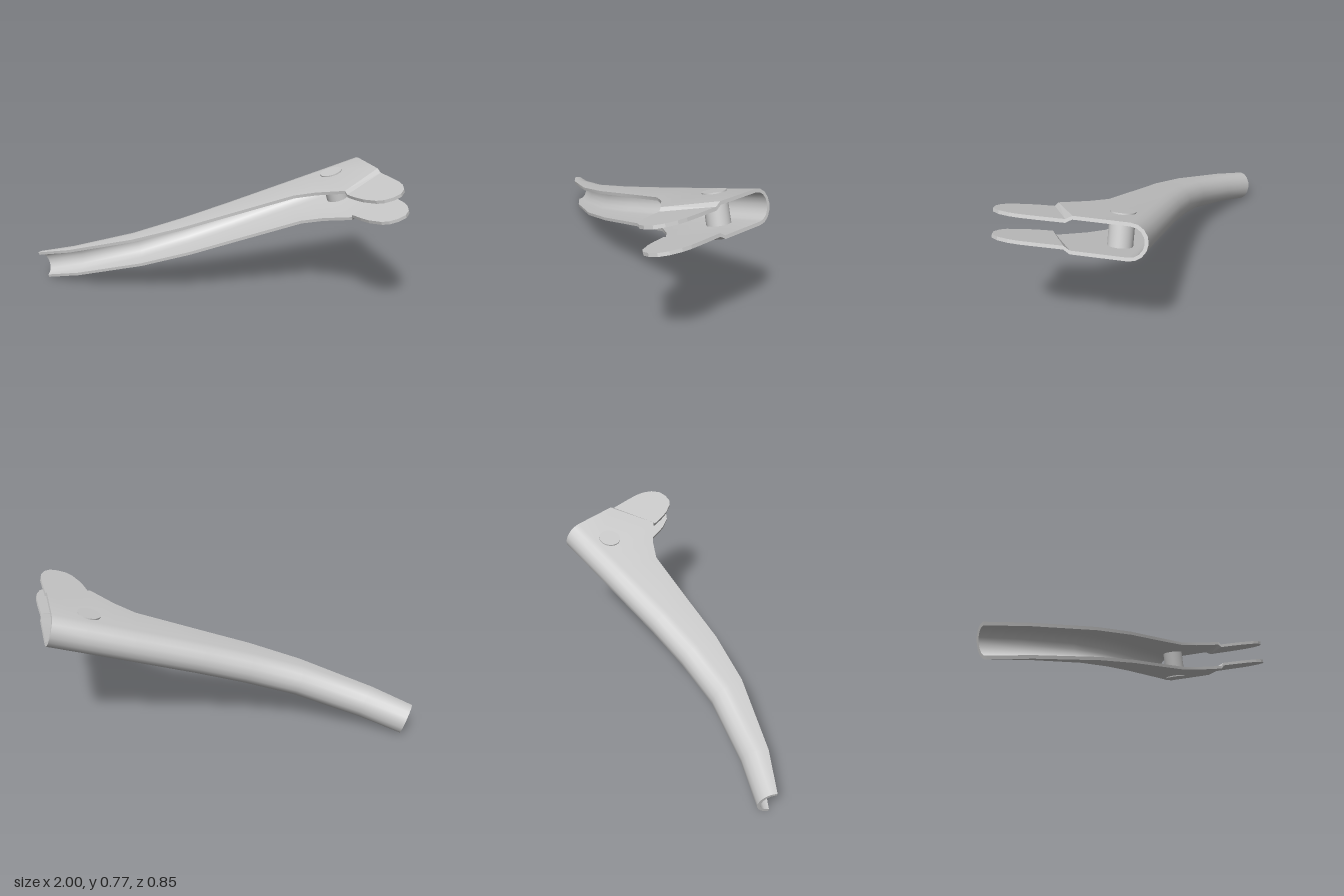
import * as THREE from 'three';
import { toCreasedNormals } from 'three/addons/utils/BufferGeometryUtils.js';

// Local frame: x along the lever, y through its thickness, z towards the open side.
const TILT = THREE.MathUtils.degToRad(17.5);
const MID = 0.373;   // mid-plane of the channel
const HALF = 0.086;  // half of the outer thickness
const WALL = 0.017;
const TAB_HALF = 0.068;

// Stations: lip x, lip z, back x, back z
const STATIONS = [
  [-0.905, -0.36, -0.872, -0.428],
  [-0.705, -0.24, -0.646, -0.34],
  [-0.31, -0.083, -0.3, -0.25],
  [-0.02, -0.023, -0.016, -0.235],
  [0.24, 0, 0.25, -0.242],
  [0.62, 0.037, 0.62, -0.268],
  [0.735, 0.095, 0.735, -0.276],
  [0.87, 0.197, 0.87, -0.286],
  [1.095, 0.035, 1.04, -0.3],
];

// U-shaped half section: flat sides and a rounded back
function sectionLine(station, inset) {
  const [lx, lz, bx, bz] = station;
  const depth = Math.hypot(bx - lx, bz - lz);
  const round = Math.min(0.085, depth * 0.95);
  const half = HALF - inset;
  const points = [];
  const add = (s, v) => points.push(new THREE.Vector3(
    lx + (bx - lx) * s / depth, MID + v, lz + (bz - lz) * s / depth));
  add(0, half);
  for (let i = 0; i <= 8; i++) {
    const a = Math.PI * i / 8;
    add(depth - round + (round - inset) * Math.sin(a), half * Math.cos(a));
  }
  add(0, -half);
  return points;
}

// Thin-walled channel lofted through the stations
function channelGeometry() {
  const rings = STATIONS.map(s => [...sectionLine(s, 0), ...sectionLine(s, WALL).reverse()]);
  const n = rings[0].length;
  const index = [];
  for (let i = 0; i < rings.length - 1; i++) {
    for (let j = 0; j < n; j++) {
      const k = (j + 1) % n;
      const a = i * n + j, b = i * n + k, c = a + n, d = b + n;
      index.push(a, c, b, b, c, d);
    }
  }
  // End rims between the outer and inner lines
  const last = (rings.length - 1) * n;
  for (let j = 0; j < n / 2 - 1; j++) {
    const o = j, o2 = j + 1, p = n - 1 - j, p2 = n - 2 - j;
    index.push(o, o2, p, o2, p2, p);
    index.push(last + o, last + p, last + o2, last + o2, last + p, last + p2);
  }
  const geometry = new THREE.BufferGeometry().setFromPoints(rings.flat());
  geometry.setIndex(index);
  return toCreasedNormals(geometry, 0.6);
}

// Flat plate from an outline in x and z
function plateGeometry(outline, y) {
  const shape = new THREE.Shape(outline.map(([x, z]) => new THREE.Vector2(x, -z)));
  const geometry = new THREE.ExtrudeGeometry(shape, { depth: WALL, bevelEnabled: false });
  return geometry.rotateX(-Math.PI / 2).translate(0, y, 0);
}

const FOLD = [[0.87, 0.197], [1.095, 0.035]];
const TAB_START = [0.874, 0.212];
const TAB_END = [1.1, 0.065];
const TAB = [
  TAB_START, [0.9, 0.28], [0.927, 0.335], [0.975, 0.4], [1.01, 0.421], [1.055, 0.425],
  [1.1, 0.41], [1.13, 0.368], [1.142, 0.31], [1.14, 0.26], [1.125, 0.18], TAB_END,
];

export function createModel() {
  const model = new THREE.Group();
  model.name = 'lever';
  const material = new THREE.MeshStandardMaterial({ color: 0xcccccc, side: THREE.DoubleSide });
  const lever = new THREE.Group();
  lever.name = 'tiltedLever';
  lever.rotation.z = TILT;
  model.add(lever);

  const add = (name, geometry) => {
    const mesh = new THREE.Mesh(geometry, material);
    mesh.name = name;
    lever.add(mesh);
  };

  add('channel', channelGeometry());

  // Upper and lower tabs, each joined to the channel by a sloping step
  for (const side of [1, -1]) {
    const label = side > 0 ? 'upper' : 'lower';
    const y = MID + side * (TAB_HALF - WALL / 2) - WALL / 2;
    add(label + 'Tab', plateGeometry(TAB, y));

    const step = plateGeometry([FOLD[0], TAB_START, TAB_END, FOLD[1]], y);
    const pos = step.attributes.position;
    for (let i = 0; i < pos.count; i++) {
      const onFold = FOLD.some(([x, z]) =>
        Math.hypot(pos.getX(i) - x, pos.getZ(i) - z) < 0.002);
      if (onFold) pos.setY(i, pos.getY(i) + side * (HALF - TAB_HALF));
    }
    step.computeVertexNormals();
    add(label + 'TabStep', step);
  }

  // Pivot pin through both walls
  const pin = new THREE.CylinderGeometry(0.06, 0.06, 0.186, 32);
  add('pivotPin', pin.translate(0.87, MID, -0.12));

  return model;
}
